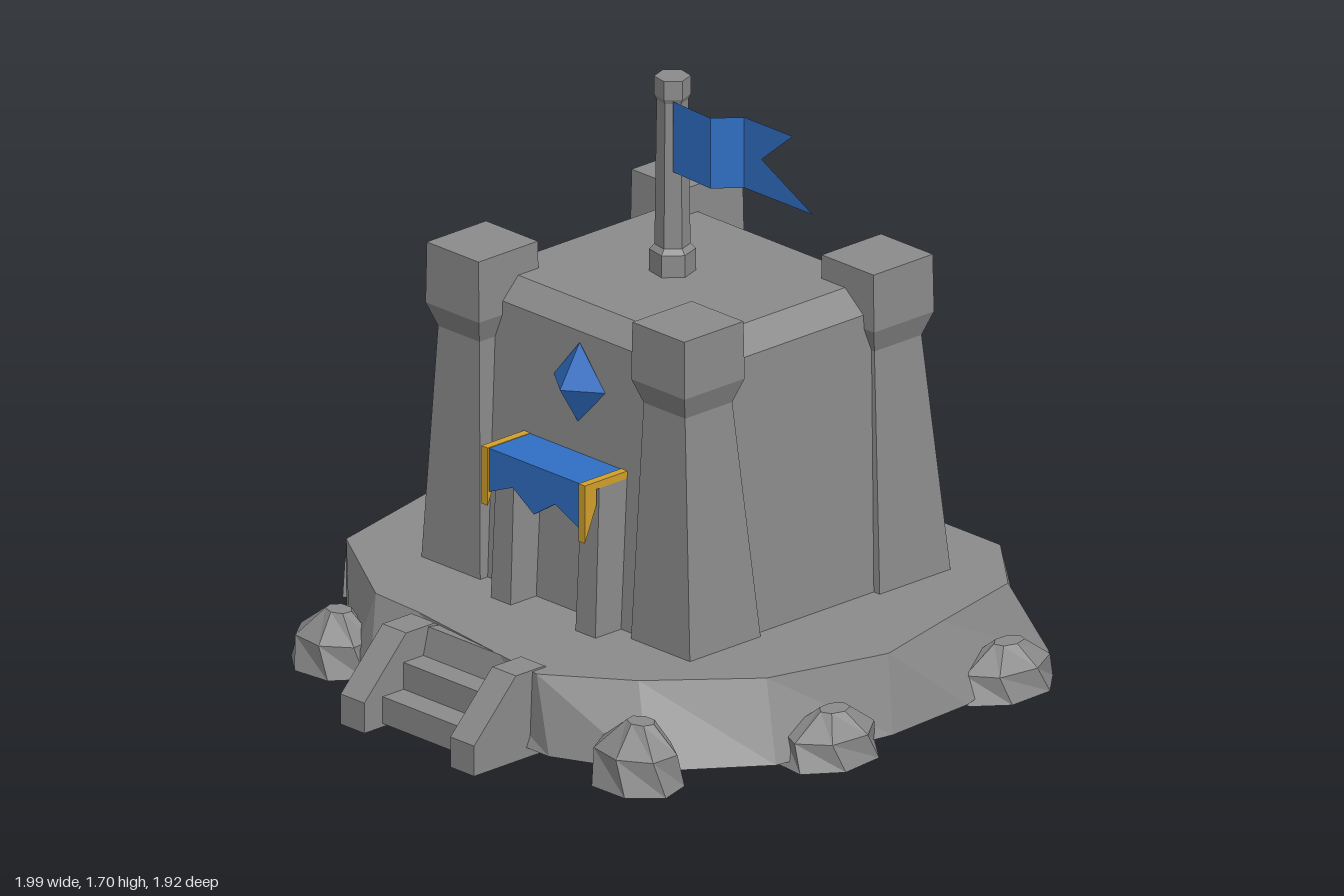
import * as THREE from 'three';

const mat = (name, color, side = THREE.FrontSide) => {
  const m = new THREE.MeshStandardMaterial({ color, side });
  m.name = name;
  return m;
};

// Faceted solid through rings of [x, y, z], listed from bottom to top
function loft(rings) {
  const v = [];
  const tri = (...p) => p.forEach(q => v.push(...q));
  const n = rings[0].length;
  const centre = r => [0, 1, 2].map(k => r.reduce((s, p) => s + p[k], 0) / n);
  const low = rings[0], high = rings[rings.length - 1];
  const cl = centre(low), ch = centre(high);
  for (let j = 0; j < n; j++) {
    const k = (j + 1) % n;
    for (let i = 0; i < rings.length - 1; i++) {
      const a = rings[i][j], b = rings[i][k], c = rings[i + 1][k], d = rings[i + 1][j];
      tri(a, d, c);
      tri(a, c, b);
    }
    tri(cl, low[j], low[k]);
    tri(ch, high[k], high[j]);
  }
  const g = new THREE.BufferGeometry();
  g.setAttribute('position', new THREE.Float32BufferAttribute(v, 3));
  g.computeVertexNormals();
  return g;
}

// Rectangular ring from bounds, or from centre and half sizes
const rect = (y, x0, x1, z0, z1) => [[x1, y, z0], [x1, y, z1], [x0, y, z1], [x0, y, z0]];
const block = (y, x, z, w, d) => rect(y, x - w, x + w, z - d, z + d);
const ngon = (y, x, z, r, n, turn = 0) => Array.from({ length: n }, (_, i) => {
  const a = turn + i * Math.PI * 2 / n;
  return [x + r * Math.cos(a), y, z + r * Math.sin(a)];
});

// Side profile of [z, y] points extruded from x0 to x1
function sideProfile(pts, x0, x1) {
  const shape = new THREE.Shape(pts.map(p => new THREE.Vector2(...p)));
  const g = new THREE.ExtrudeGeometry(shape, { depth: x1 - x0, bevelEnabled: false });
  return g.rotateY(-Math.PI / 2).translate(x1, 0, 0);
}

export function createModel() {
  const model = new THREE.Group();
  model.name = 'keep';
  const stone = mat('stone grey', 0x8b8b8b);
  const cloth = mat('cloth blue', 0x2f6fc4, THREE.DoubleSide);
  const gold = mat('gold trim', 0xd2a02c);
  const add = (name, geometry, material = stone) => {
    const m = new THREE.Mesh(geometry, material);
    m.name = name;
    model.add(m);
  };

  // Rocky mound, hollow underneath
  const foot = [[0.07, -0.96], [0.48, -0.93], [0.77, -0.78], [0.9, -0.34], [0.92, -0.04], [0.86, 0.35], [0.65, 0.64],
    [0.38, 0.76], [-0.34, 0.76], [-0.48, 0.7], [-0.79, 0.42], [-0.87, 0], [-0.89, -0.3], [-0.66, -0.65], [-0.31, -0.86]];
  const rim = [[0.01, -0.85], [0.5, -0.85], [0.72, -0.67], [0.8, -0.34], [0.87, -0.07], [0.77, 0.3], [0.54, 0.57],
    [0.31, 0.74], [-0.25, 0.66], [-0.43, 0.65], [-0.78, 0.43], [-0.88, 0], [-0.885, -0.2], [-0.68, -0.53], [-0.45, -0.69]];
  add('mound', loft([
    rim.map(([x, z]) => [x * 0.95, 0.21, z * 0.95]),
    foot.map(([x, z]) => [x, 0.03, z]),
    rim.map(([x, z]) => [x, 0.25, z]),
  ]));

  // Main block with a chamfered roof edge
  add('keepBody', loft([
    rect(0.2, -0.515, 0.515, -0.575, 0.345),
    rect(1.06, -0.46, 0.465, -0.53, 0.29),
    rect(1.12, -0.39, 0.39, -0.455, 0.23),
  ]));

  // Corner towers: tapered shaft, flared head
  const towers = [[-0.405, 0.267, 1.2], [0.4, 0.248, 1.19], [-0.405, -0.515, 1.2], [0.4, -0.475, 1.19]];
  for (const [x, z, top] of towers) {
    const s = Math.sign(x);
    const zb = z > 0 ? 0.235 : -0.49;
    add('cornerTower', loft([
      block(0.12, x + s * 0.02, zb, 0.123, 0.14),
      block(0.25, x + s * 0.018, zb, 0.118, 0.135),
      block(0.95, x, z, 0.083, 0.09),
      block(1.02, x, z, 0.107, 0.115),
      block(top, x, z, 0.104, 0.113),
    ]));
  }

  // Front steps between sloping side walls
  add('steps', sideProfile([[0.49, 0.01], [0.89, 0.01], [0.89, 0.09], [0.81, 0.09], [0.81, 0.17],
    [0.735, 0.17], [0.715, 0.25], [0.65, 0.24], [0.49, 0.23]], -0.16, 0.2));
  for (const x of [-0.245, 0.195]) {
    add('stepWall', sideProfile([[0.49, 0], [0.96, 0], [0.96, 0.09], [0.8, 0.255], [0.69, 0.255], [0.66, 0.23],
      [0.49, 0.23]], x, x + 0.095));
  }

  // Door posts
  for (const x of [-0.15, 0.19]) {
    add('doorPost', loft([
      rect(0.24, x - 0.04, x + 0.04, 0.25, 0.44),
      rect(0.69, x - 0.035, x + 0.035, 0.25, 0.42),
    ]));
  }

  // Awning: gold end brackets, blue top and jagged front drape
  for (const x of [-0.19, 0.2]) {
    add('awningBracket', sideProfile([[0.3, 0.69], [0.43, 0.69], [0.43, 0.645], [0.475, 0.54],
      [0.475, 0.712], [0.3, 0.712]], x, x + 0.025), gold);
  }
  add('awningTop', new THREE.BoxGeometry(0.365, 0.009, 0.17).translate(0.0175, 0.7055, 0.385), cloth);
  const drape = new THREE.Shape([[-0.165, 0.71], [-0.165, 0.58], [-0.07, 0.62], [0.015, 0.565], [0.1, 0.62],
    [0.2, 0.575], [0.2, 0.71]].map(p => new THREE.Vector2(...p)));
  add('awningDrape', new THREE.ExtrudeGeometry(drape, { depth: 0.009, bevelEnabled: false }).translate(0, 0, 0.461), cloth);

  // Gem on the front wall
  add('wallGem', new THREE.OctahedronGeometry(1).scale(0.103, 0.122, 0.075).translate(0.02, 0.91, 0.3), cloth);

  // Flagpole with collar and cap
  const ring = (y, r) => ngon(y, -0.033, -0.105, r, 6, 0.2);
  add('flagpole', loft([ring(1.1, 0.065), ring(1.185, 0.065), ring(1.2, 0.05), ring(1.63, 0.044),
    ring(1.645, 0.051), ring(1.7, 0.051)]));

  // Swallowtail flag: two parallel panels joined by a folded strip
  const front = -0.066, back = -0.138;
  const flag = new THREE.BufferGeometry();
  flag.setAttribute('position', new THREE.Float32BufferAttribute([
    0, 1.43, front - 0.01, 0, 1.64, front - 0.01, 0.16, 1.43, front, 0.16, 1.64, front,
    0.22, 1.43, back, 0.22, 1.64, back, 0.495, 1.43, back, 0.415, 1.64, back, 0.29, 1.535, back,
  ], 3));
  flag.setIndex([0, 2, 3, 0, 3, 1, 2, 4, 5, 2, 5, 3, 4, 6, 8, 4, 8, 5, 5, 8, 7]);
  const flatFlag = flag.toNonIndexed();
  flatFlag.computeVertexNormals();
  add('flag', flatFlag, cloth);

  // Boulders around the mound: x, z, half width, half depth, height
  const boulders = [[-0.875, 0.17, 0.128, 0.16, 0.175], [-0.555, 0.69, 0.14, 0.115, 0.17], [0.65, 0.685, 0.15, 0.12, 0.185],
    [0.88, 0.165, 0.125, 0.165, 0.145], [0.85, -0.53, 0.115, 0.17, 0.145]];
  boulders.forEach(([x, z, w, d, h], i) => {
    const g = loft([ngon(0, 0, 0, 1, 7, i), ngon(0.55, 0, 0, 0.88, 7, i + 0.25), ngon(1, 0.1, -0.05, 0.3, 7, i + 0.5)]);
    add('boulder', g.scale(w, h, d).translate(x, 0.012, z));
  });

  return model;
}
